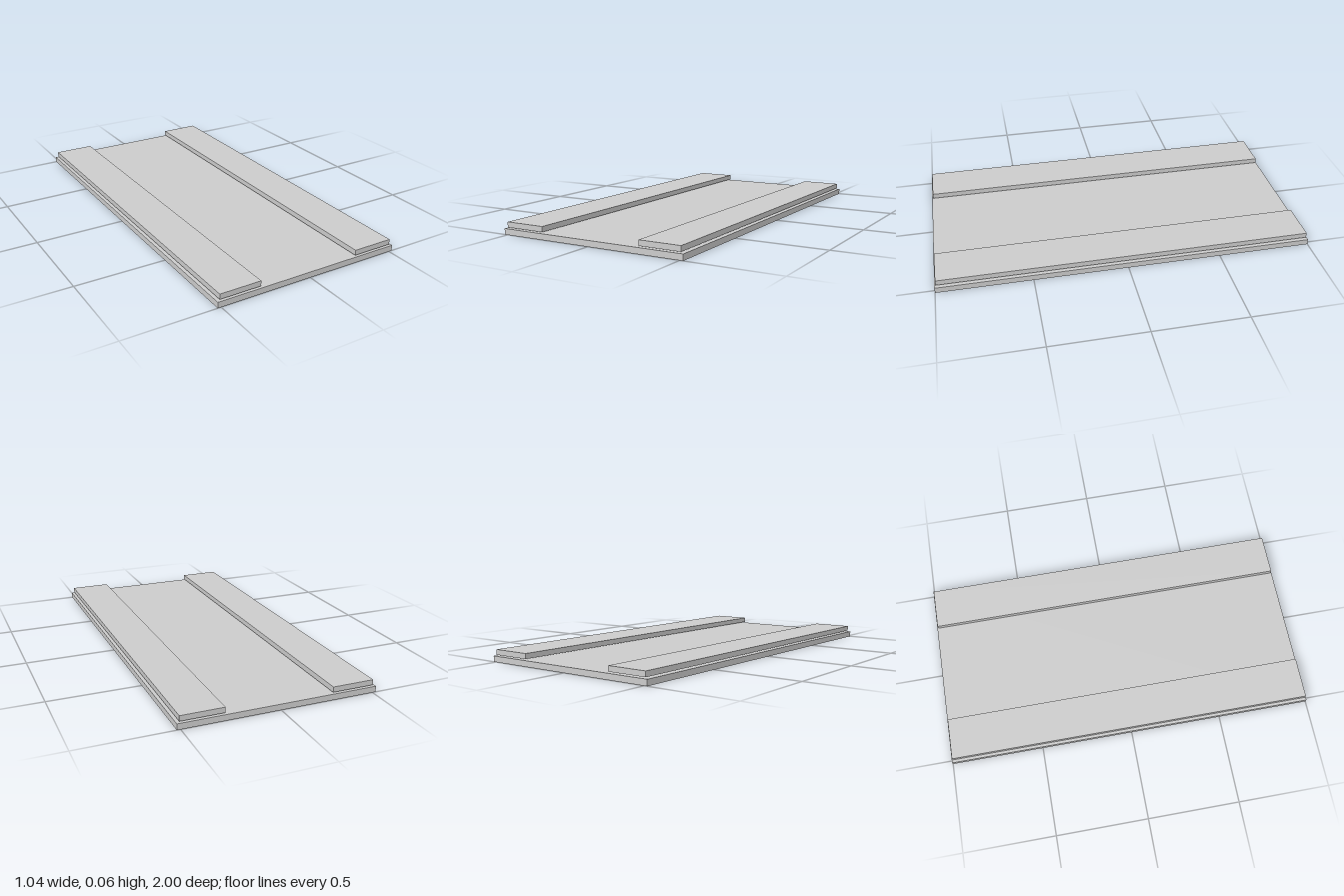
import * as THREE from 'three';

export function createModel() {
  const group = new THREE.Group();
  const material = new THREE.MeshStandardMaterial({ color: 0xcccccc, flatShading: true });

  // A box placed by its underside
  const addSlab = (name, width, height, depth, x, bottom) => {
    const mesh = new THREE.Mesh(new THREE.BoxGeometry(width, height, depth), material);
    mesh.name = name;
    mesh.position.set(x, bottom + height / 2, 0);
    group.add(mesh);
  };

  // Wide base panel
  addSlab('basePanel', 1.036, 0.031, 2, 0, 0);

  // Long strips floating just above each side edge
  for (const side of [-1, 1]) {
    addSlab(side > 0 ? 'leftStrip' : 'rightStrip', 0.223, 0.028, 1.985, side * 0.392, 0.037);
  }

  return group;
}
